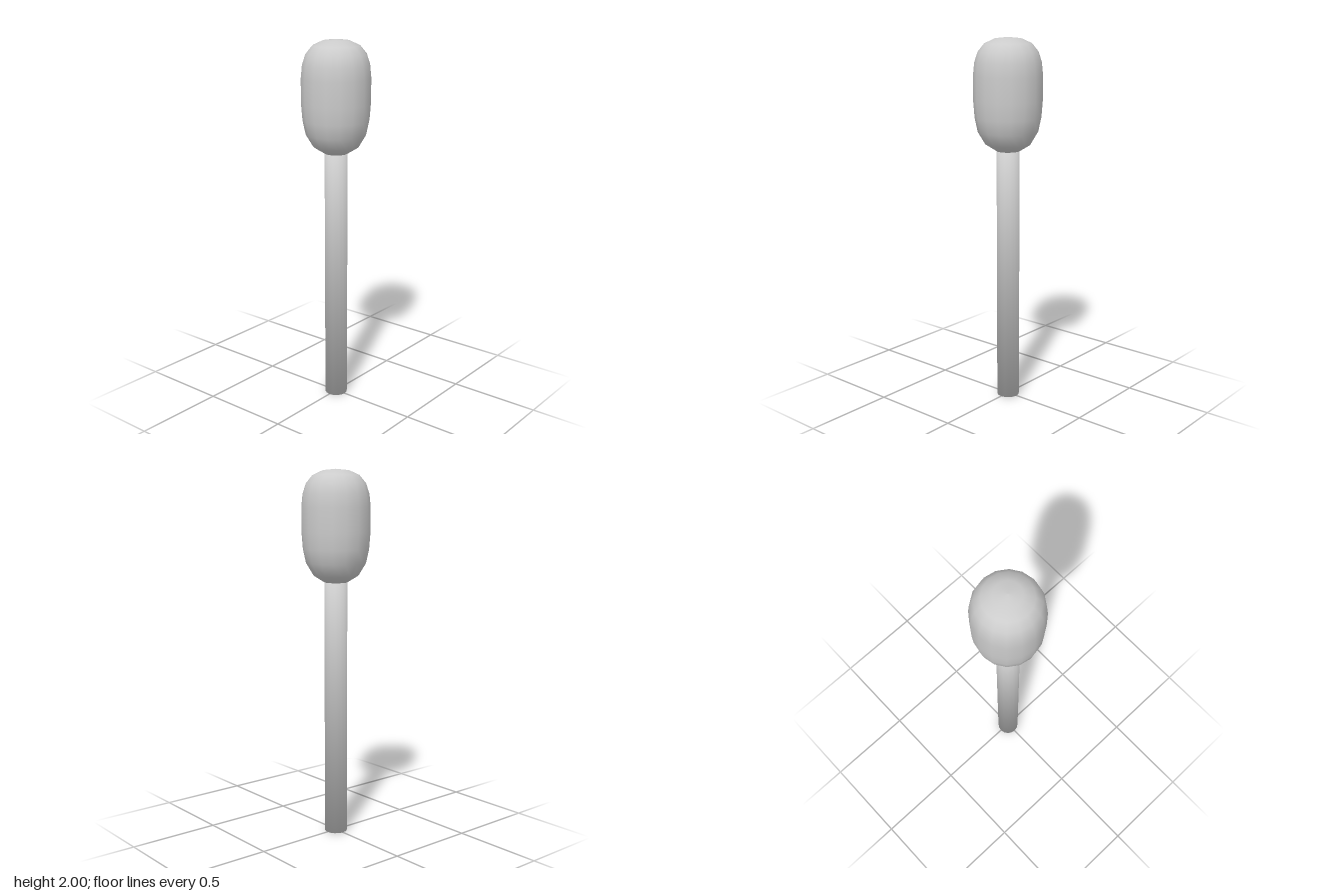
import * as THREE from 'three';

const SIDES = 16;

// Solid of revolution from [radius, height] pairs, listed bottom to top
function turned(name, profile, material) {
  const points = profile.map(([r, y]) => new THREE.Vector2(r, y));
  const mesh = new THREE.Mesh(new THREE.LatheGeometry(points, SIDES), material);
  mesh.name = name;
  return mesh;
}

export function createModel() {
  const model = new THREE.Group();
  model.name = 'mallet';
  const grey = new THREE.MeshStandardMaterial({ color: 0xcccccc });

  // Straight round stick with a flat foot
  const stick = turned('stick', [[0, 0], [0.062, 0], [0.062, 1.41], [0, 1.41]], grey);
  // Soft shading over the end rims: normals lean outward and away from the middle
  const { position, normal } = stick.geometry.attributes;
  const n = new THREE.Vector3();
  for (let i = 0; i < position.count; i++) {
    const x = position.getX(i), y = position.getY(i), z = position.getZ(i);
    n.set(x, y < 0.7 ? -0.05 : 0.05, z).normalize();
    normal.setXYZ(i, n.x, n.y, n.z);
  }
  model.add(stick);

  // Rounded head, narrower towards the stick
  model.add(turned('head', [
    [0, 1.395], [0.06, 1.4], [0.122, 1.438], [0.162, 1.505], [0.178, 1.58],
    [0.185, 1.67], [0.185, 1.8], [0.178, 1.87], [0.16, 1.925], [0.125, 1.968],
    [0.07, 1.993], [0, 2],
  ], grey));

  return model;
}
